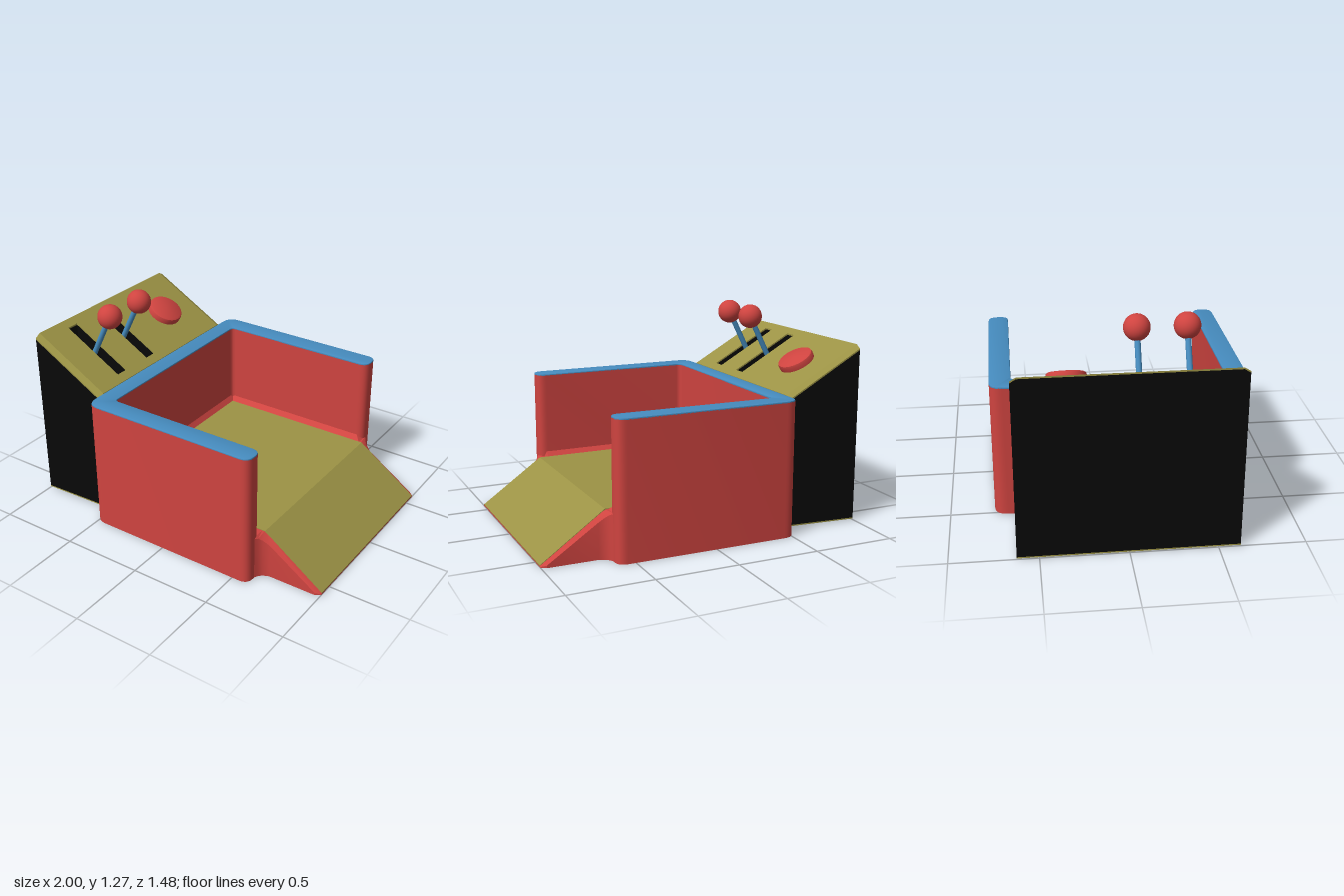
import * as THREE from 'three';
import { toCreasedNormals } from 'three/addons/utils/BufferGeometryUtils.js';

const mat = (color) => new THREE.MeshStandardMaterial({ color });

export function createModel() {
  const model = new THREE.Group();
  const red = mat(0xcf4440), yellow = mat(0x9c9345), blue = mat(0x468cbf), black = mat(0x080808);

  const add = (name, geometry, material, parent = model) => {
    const mesh = new THREE.Mesh(geometry, material);
    mesh.name = name;
    parent.add(mesh);
    return mesh;
  };

  // Side profile (x, y) extruded from z0 to z1
  const slab = (points, z0, z1) => {
    const shape = new THREE.Shape(points.map(([x, y]) => new THREE.Vector2(x, y)));
    return new THREE.ExtrudeGeometry(shape, { depth: z1 - z0, bevelEnabled: false }).translate(0, 0, z0);
  };

  // Polygon with rounded corners, each point is [x, y, radius]
  const roundedShape = (points) => {
    const shape = new THREE.Shape();
    points.forEach(([x, y, r], i) => {
      const p = new THREE.Vector2(x, y);
      const toward = (q) => new THREE.Vector2(q[0], q[1]).sub(p).setLength(r).add(p);
      const a = toward(points.at(i - 1)), b = toward(points[(i + 1) % points.length]);
      if (i === 0) shape.moveTo(a.x, a.y); else shape.lineTo(a.x, a.y);
      shape.quadraticCurveTo(x, y, b.x, b.y);
    });
    shape.closePath();
    return shape;
  };

  // U-shaped wall with a coloured rim
  const uShape = roundedShape([
    [-0.52, -0.74, 0.08], [0.605, -0.74, 0.06], [0.605, -0.615, 0.055], [-0.41, -0.615, 0.03],
    [-0.41, 0.615, 0.03], [0.605, 0.615, 0.055], [0.605, 0.74, 0.06], [-0.52, 0.74, 0.08],
  ]);
  const upright = (options) => toCreasedNormals(
    new THREE.ExtrudeGeometry(uShape, { curveSegments: 8, ...options }).rotateX(-Math.PI / 2), 0.6);
  add('wall', upright({ depth: 0.812, bevelEnabled: false }), red);
  add('wallRim', upright({
    depth: 0.004, bevelThickness: 0.006, bevelSize: 0.006, bevelOffset: -0.006, bevelSegments: 2,
  }).translate(0, 0.81, 0), blue);

  // Floor and ramp base: cross-sections [x, top y, half width, edge rise]
  const stations = [
    [-0.41, 0.31, 0.62, 0], [-0.385, 0.276, 0.62, 0.034], [0.56, 0.276, 0.62, 0.034],
    [0.6, 0.276, 0.68, 0], [0.615, 0.276, 0.647, -0.012], [0.635, 0.265, 0.627, -0.02],
    [0.67, 0.241, 0.612, -0.025], [0.97, 0.029, 0.61, -0.015], [1, 0.008, 0.59, -0.004],
  ];
  const verts = [], index = [];
  stations.forEach(([x, y, w, e], i) => {
    const ring = [[0, w], [y + e, w], [y, 0.582], [y, -0.582], [y + e, -w], [0, -w]];
    ring.forEach(([py, pz]) => verts.push(x, py, pz));
    if (i === stations.length - 1) return;
    for (let j = 0; j < 6; j++) {
      const a = i * 6 + j, b = i * 6 + (j + 1) % 6;
      index.push(a, a + 6, b, a + 6, b + 6, b);
    }
  });
  const last = verts.length / 3 - 6;
  for (let j = 1; j < 5; j++) index.push(last, last + j + 1, last + j);
  const base = new THREE.BufferGeometry();
  base.setAttribute('position', new THREE.Float32BufferAttribute(verts, 3));
  base.setIndex(index);
  add('floorBase', toCreasedNormals(base.toNonIndexed(), 0.5), red);

  // Floor covering running down the ramp
  add('floorMat', slab([
    [-0.385, 0.27], [-0.385, 0.28], [0.62, 0.28], [1, 0.012], [1, 0.006], [0.62, 0.27],
  ], -0.582, 0.582), yellow);

  // Console, built in strips across z so that two strips hold lever slots
  const consoleGroup = new THREE.Group();
  consoleGroup.name = 'console';
  model.add(consoleGroup);
  const top = (x) => 1.09 - 0.5625 * (x + 1);
  const at = (x, drop) => [x, top(x) - drop];
  const [back, front, s0, s1] = [-1, -0.52, -0.95, -0.57];
  const skin = 0.01, depth = 0.09;
  const foot = [[front, 0.03], [back, 0.014]];

  // Lower the outer top edges so the panel falls away at both sides
  const dropEdges = (geometry) => {
    const p = geometry.attributes.position;
    for (let i = 0; i < p.count; i++) {
      if (Math.abs(p.getZ(i)) > 0.62 && p.getY(i) > 0.5) p.setY(i, p.getY(i) - 0.022);
    }
    geometry.computeVertexNormals();
    return geometry;
  };
  const panelPiece = (x0, x1, z0, z1) => add('controlPanel', dropEdges(slab(
    [at(x0, skin), at(x1, skin), at(x1, 0), at(x0, 0)], z0, z1)), yellow, consoleGroup);

  const cuts = [-0.625, -0.59, 0.033, 0.113, 0.312, 0.392, 0.59, 0.625];
  for (let i = 0; i < cuts.length - 1; i++) {
    const z0 = cuts[i], z1 = cuts[i + 1], slot = i === 2 || i === 4;
    const notch = slot ? [at(s0, skin), at(s0, depth), at(s1, depth), at(s1, skin)] : [];
    add('consoleBody', dropEdges(slab([at(back, skin), ...notch, at(front, skin), ...foot], z0, z1)),
      black, consoleGroup);
    if (slot) {
      panelPiece(back, s0, z0, z1);
      panelPiece(s1, front, z0, z1);
    } else {
      panelPiece(back, front, z0, z1);
    }
  }
  add('consoleUnderside', slab([[back, 0.006], [front, 0.022], ...foot], -0.625, 0.625), yellow, consoleGroup);

  // Levers with ball knobs
  const foot3 = new THREE.Vector3(-0.79, 0.91, 0), knob = new THREE.Vector3(-0.643, 1.197, 0);
  for (const z of [0.35, 0.073]) {
    const lever = new THREE.Group();
    lever.name = 'lever';
    lever.position.z = z;
    const dir = knob.clone().sub(foot3);
    const rod = add('leverRod', new THREE.CapsuleGeometry(0.017, dir.length(), 4, 16), blue, lever);
    rod.position.copy(foot3).addScaledVector(dir, 0.5);
    rod.quaternion.setFromUnitVectors(new THREE.Vector3(0, 1, 0), dir.normalize());
    add('leverKnob', new THREE.SphereGeometry(0.075, 32, 20), red, lever).position.copy(knob);
    consoleGroup.add(lever);
  }

  // Push button lying on the slope
  const profile = [[0.11, -0.01], [0.112, 0.025], [0.108, 0.038], [0.098, 0.044], [0, 0.046]]
    .map(([r, y]) => new THREE.Vector2(r, y));
  const button = add('button', toCreasedNormals(new THREE.LatheGeometry(profile, 40).toNonIndexed(), 0.7),
    red, consoleGroup);
  button.position.set(-0.757, top(-0.757), -0.32);
  button.rotation.z = -Math.atan(0.5625);

  return model;
}
